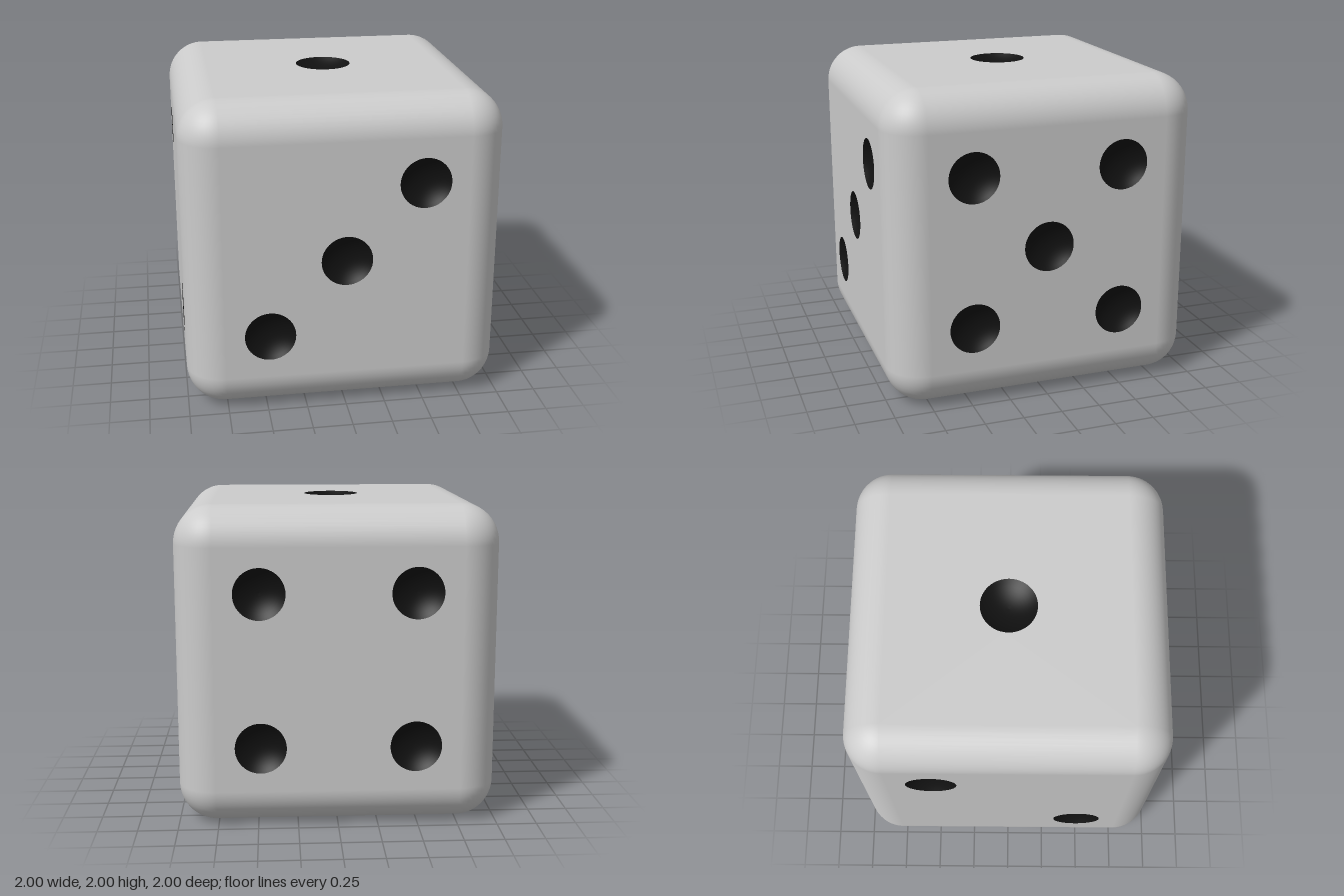
import * as THREE from 'three';
import { mergeGeometries } from 'three/addons/utils/BufferGeometryUtils.js';

const R = 0.24;          // edge rounding
const C = 1 - R;         // half width of the flat faces
const S = 0.48;          // pip spacing
const DEPTH = 0.06;      // pip depth
const Q = Math.PI / 2;

// Flat face at z = 1 with a round hole for every pip
function faceGeometry(pips, r) {
  const shape = new THREE.Shape();
  shape.moveTo(-C, -C).lineTo(C, -C).lineTo(C, C).lineTo(-C, C).closePath();
  for (const [u, v] of pips) {
    shape.holes.push(new THREE.Path().absarc(u * S, v * S, r, 0, Math.PI * 2, true));
  }
  return new THREE.ShapeGeometry(shape, 24).translate(0, 0, 1);
}

// Shallow bowl opening towards +z
function pipGeometry(r) {
  const sphereR = (r * r + DEPTH * DEPTH) / (2 * DEPTH);
  const a = Math.asin(r / sphereR);
  const points = [];
  for (let i = 0; i <= 8; i++) {
    const t = a * (1 - i / 8);
    points.push(new THREE.Vector2(
      sphereR * Math.sin(t), sphereR * (Math.cos(a) - Math.cos(t))));
  }
  points[8].x = 0;
  return new THREE.LatheGeometry(points, 48).rotateX(Q);
}

// Twelve quarter-round edges and eight ball corners
function roundingGeometry() {
  const parts = [];
  for (let k = 0; k < 4; k++) {
    const mid = (k + 0.5) * Q;
    const sx = Math.sign(Math.sin(mid)), sz = Math.sign(Math.cos(mid));
    const edge = new THREE.CylinderGeometry(R, R, 2 * C, 12, 1, true, k * Q, Q)
      .translate(sx * C, 0, sz * C);
    parts.push(edge, edge.clone().rotateX(Q), edge.clone().rotateZ(Q));
    for (const top of [true, false]) {
      parts.push(new THREE.SphereGeometry(R, 12, 12, k * Q, Q, top ? 0 : Q, Q)
        .translate(-sz * C, top ? C : -C, sx * C));
    }
  }
  return mergeGeometries(parts);
}

export function createModel() {
  const model = new THREE.Group();
  const bodyMaterial = new THREE.MeshStandardMaterial({ color: 0xcccccc });
  const pipMaterial = new THREE.MeshStandardMaterial({ color: 0x111111 });

  const corners = [[-1, -1], [1, -1], [-1, 1], [1, 1]];
  const faces = [
    { name: 'front', rot: [0, 0], pips: [[-1, -1], [0, 0], [1, 1]] },
    { name: 'back', rot: [0, 2 * Q], pips: corners },
    { name: 'fiveSide', rot: [0, Q], pips: [...corners, [0, 0]] },
    { name: 'twoSide', rot: [0, -Q], pips: [[-1, 1], [1, -1]] },
    { name: 'top', rot: [-Q, 0], pips: [[0, 0]], r: 0.178 },
    { name: 'bottom', rot: [Q, 0], pips: [...corners, [-1, 0], [1, 0]] },
  ];

  // Faces with their pips
  for (const { name, rot, pips, r = 0.16 } of faces) {
    const side = new THREE.Group();
    side.name = name + 'Side';
    const face = new THREE.Mesh(faceGeometry(pips, r), bodyMaterial);
    face.name = name + 'Face';
    side.add(face);
    const bowl = pipGeometry(r);
    for (const [u, v] of pips) {
      const pip = new THREE.Mesh(bowl, pipMaterial);
      pip.name = 'pip';
      pip.position.set(u * S, v * S, 1);
      side.add(pip);
    }
    side.rotation.set(rot[0], rot[1], 0);
    side.position.y = 1;
    model.add(side);
  }

  // Rounded edges and corners
  const rounding = new THREE.Mesh(roundingGeometry(), bodyMaterial);
  rounding.name = 'roundedEdges';
  rounding.position.y = 1;
  model.add(rounding);

  return model;
}
